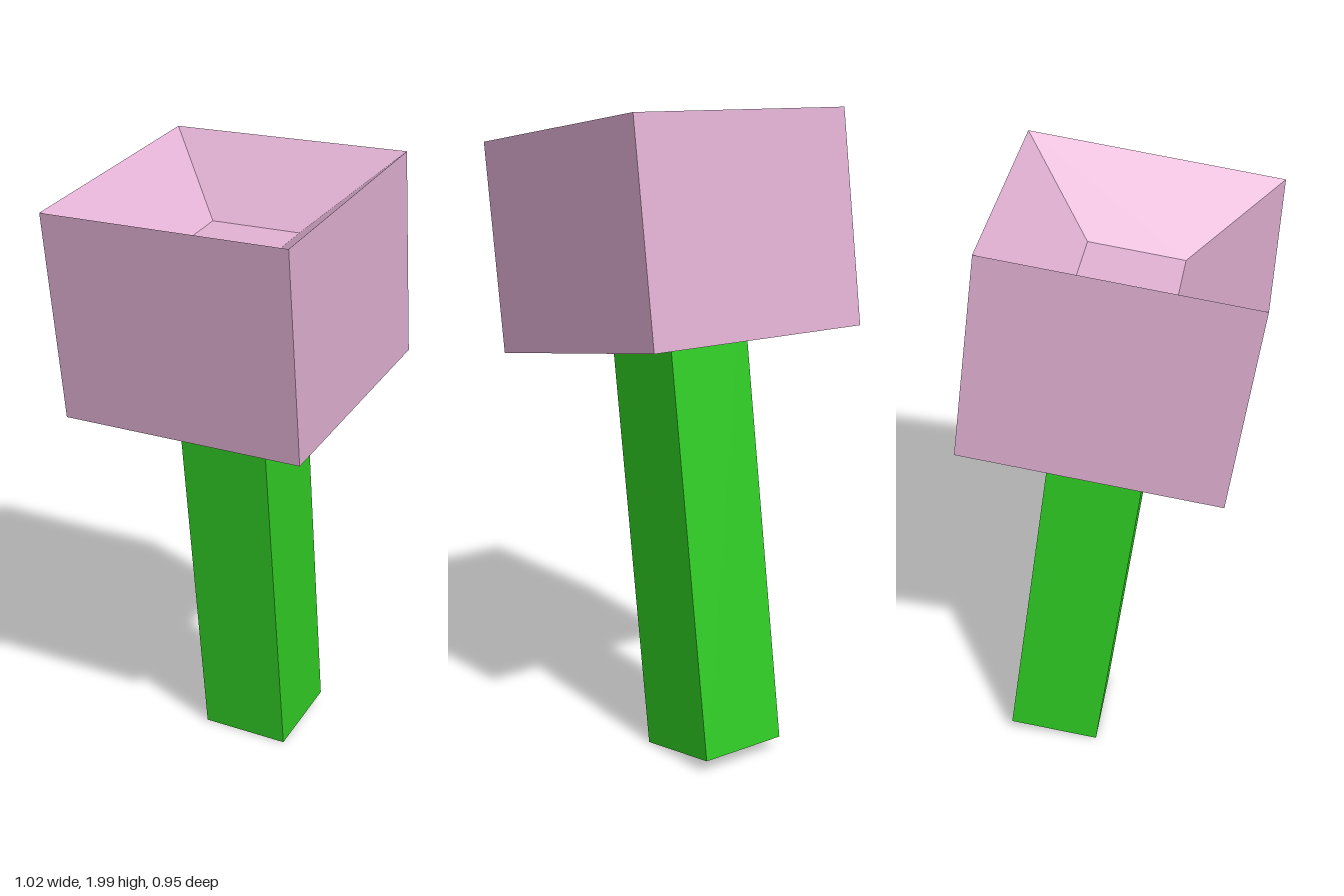
import * as THREE from 'three';

const pink = new THREE.MeshStandardMaterial({ color: 0xe0b0d2 });
pink.name = 'pink';
const green = new THREE.MeshStandardMaterial({ color: 0x30cc24 });
green.name = 'green';

// Square-sided lathe: profile of [half width, height], with faceted normals
function squareLathe(profile) {
  const points = profile.map(([half, y]) => new THREE.Vector2(half * Math.SQRT2, y));
  const geometry = new THREE.LatheGeometry(points, 4, Math.PI / 4).toNonIndexed();
  geometry.computeVertexNormals();
  return geometry;
}

export function createModel() {
  const headHalf = 0.393, headTop = 0.328;   // block size
  const floorHalf = 0.148, floorY = 0.131;   // square floor of each funnel
  const stemBottom = -1.609;

  // Block with a funnel-shaped hollow above and below
  const head = new THREE.Mesh(squareLathe([
    [0, -floorY], [floorHalf, -floorY], [headHalf, -headTop],
    [headHalf, headTop], [floorHalf, floorY], [0, floorY],
  ]), pink);
  head.name = 'head';

  // Square stem rising into the lower hollow
  const stemLength = -floorY - stemBottom;
  const stem = new THREE.Mesh(
    new THREE.BoxGeometry(floorHalf * 2, stemLength, floorHalf * 2), green);
  stem.name = 'stem';
  stem.position.y = stemBottom + stemLength / 2;

  // Tilt the whole piece about the head centre
  const tilted = new THREE.Group();
  tilted.name = 'tiltedBody';
  const up = new THREE.Vector3(-0.0885, 0.65, 0.0205).normalize();
  const side = new THREE.Vector3(0.765, 0.11, -0.167);
  side.addScaledVector(up, -side.dot(up)).normalize();
  const front = new THREE.Vector3().crossVectors(side, up);
  tilted.quaternion.setFromRotationMatrix(new THREE.Matrix4().makeBasis(side, up, front));
  tilted.position.set(0, 1.618, 0);
  tilted.add(head, stem);

  const model = new THREE.Group();
  model.name = 'mallet';
  model.add(tilted);
  return model;
}
